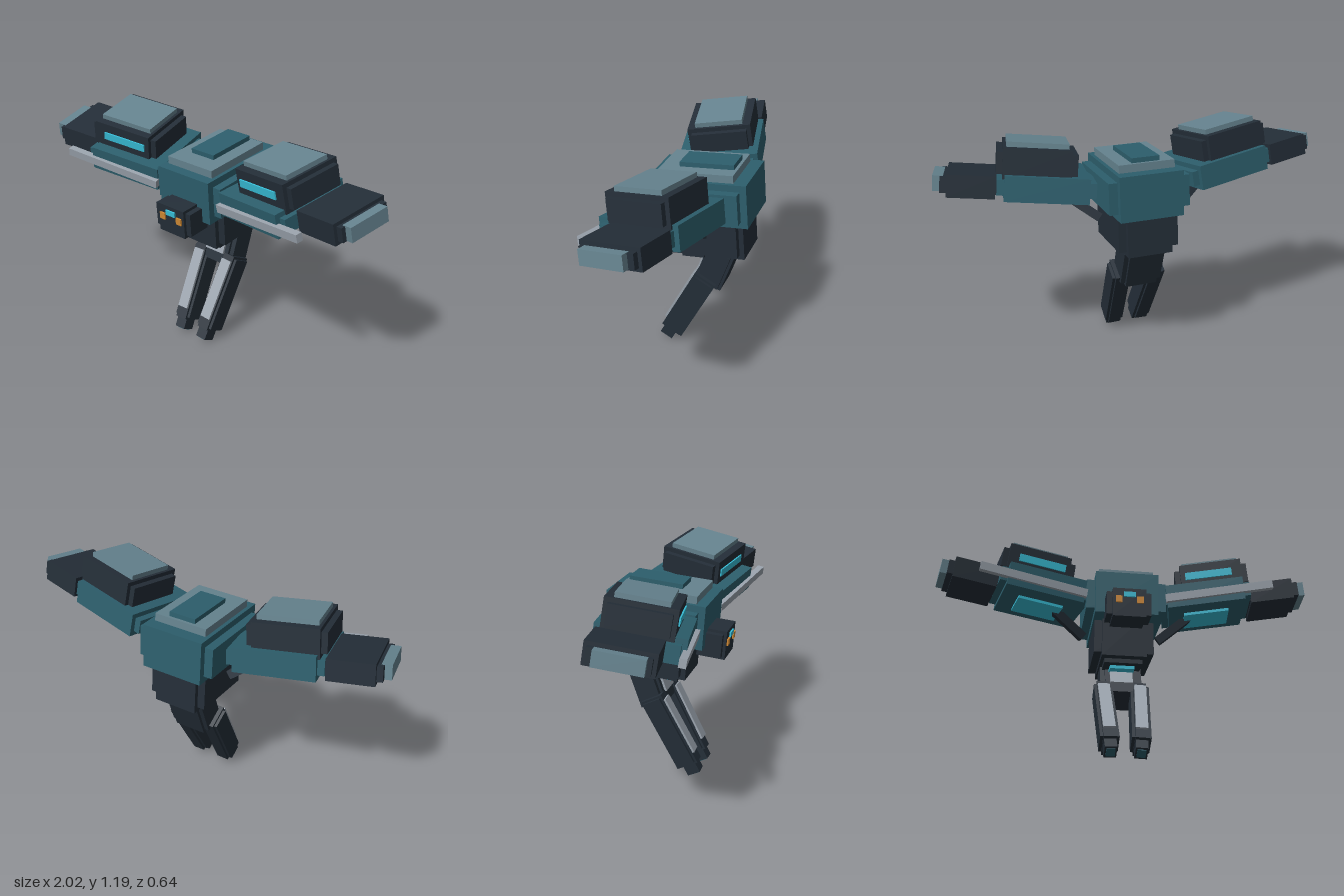
import * as THREE from 'three';
import { mergeGeometries } from 'three/addons/utils/BufferGeometryUtils.js';

const mat = (name, color) => {
  const m = new THREE.MeshStandardMaterial({ color });
  m.name = name;
  return m;
};

export function createModel() {
  const teal = mat('teal armour', 0x2d5f6d);
  const dark = mat('dark frame', 0x242e38);
  const slate = mat('slate plating', 0x668490);
  const silver = mat('silver trim', 0x9aa3ad);
  const cyan = mat('cyan glow', 0x38c0da);
  const amber = mat('amber eyes', 0xd08a35);

  const add = (parent, name, geo, material, pos = [0, 0, 0]) => {
    const mesh = new THREE.Mesh(geo, material);
    mesh.name = name;
    mesh.position.set(...pos);
    parent.add(mesh);
    return mesh;
  };
  const box = (w, h, d) => new THREE.BoxGeometry(w, h, d);
  // Stepped-edge block: a full-height core crossed by a wider, inset slab
  const block = (w, h, d, b, c = b) =>
    mergeGeometries([box(w - 2 * b, h, d), box(w, h - 2 * c, d - 2 * c)]);
  const group = (parent, name, pos, rot = [0, 0, 0], order = 'XYZ') => {
    const g = new THREE.Group();
    g.name = name;
    g.position.set(...pos);
    g.rotation.set(rot[0], rot[1], rot[2], order);
    parent.add(g);
    return g;
  };

  const model = new THREE.Group();
  model.name = 'flyingRobot';
  const pitch = 0.076;

  // Torso with stacked back plates
  const torso = group(model, 'torso', [0, 0.8885, -0.048], [pitch, 0, 0]);
  add(torso, 'chest', block(0.42, 0.23, 0.522, 0.045, 0.035), teal);
  add(torso, 'backPlate', box(0.29, 0.04, 0.4), slate, [0, 0.135, 0.008]);
  add(torso, 'backPanel', box(0.145, 0.025, 0.285), teal, [0, 0.167, -0.033]);

  // Waist and the thruster under it
  const waist = group(model, 'waist', [0, 0.693, -0.086], [pitch, 0, 0]);
  add(waist, 'waistBlock', block(0.315, 0.24, 0.393, 0.04, 0.025), dark);
  add(waist, 'thrusterHousing', box(0.2, 0.03, 0.12), dark, [0, -0.128, 0.09]);
  add(waist, 'thrusterGlow', box(0.13, 0.02, 0.08), cyan, [0, -0.15, 0.07]);

  // Head with eyes and brow light
  const head = group(model, 'head', [0, 0.768, 0.231], [pitch, 0, 0]);
  add(head, 'skull', block(0.23, 0.153, 0.15, 0.03, 0.015), dark);
  add(head, 'browLight', box(0.06, 0.027, 0.009), cyan, [0, 0.042, 0.079]);
  for (const s of [1, -1])
    add(head, 'eye', box(0.034, 0.036, 0.009), amber, [s * 0.054, 0.014, 0.079]);

  // Pelvis swept forward
  const pelvis = group(model, 'pelvis', [0, 0.492, -0.12], [-0.339, 0, 0]);
  add(pelvis, 'pelvisBlock', block(0.22, 0.24, 0.15, 0.025, 0.015), dark);
  add(pelvis, 'pelvisPlate', box(0.12, 0.13, 0.03), silver, [0, 0.0, 0.072]);

  for (const s of [1, -1]) {
    const side = s > 0 ? 'left' : 'right';

    // Lower leg, shin strip and foot
    const leg = group(model, side + 'Leg', [s * 0.088, 0.247, 0.017], [-0.487, 0, -s * 0.045]);
    add(leg, 'shin', block(0.097, 0.426, 0.126, 0.015, 0.012), dark);
    add(leg, 'shinStrip', box(0.062, 0.334, 0.025), silver, [0, 0.015, 0.062]);
    add(leg, 'foot', box(0.062, 0.075, 0.074), dark, [0, -0.232, 0.01]);
    add(leg, 'footGlow', box(0.045, 0.006, 0.05), teal, [0, -0.271, 0.01]);

    // Wing arm: swept forward, raised outward
    const rot = [0.15, -s * 0.18, s * 0.1];
    const wing = group(model, side + 'Wing', [s * 0.453, 0.93, 0.013], rot, 'YXZ');
    add(wing, 'wingSlab', block(0.48, 0.125, 0.43, 0.035, 0.025), teal);
    add(wing, 'undersideGlow', box(0.24, 0.018, 0.22), cyan, [0, -0.068, -0.01]);

    // Shoulder pod
    add(wing, 'pod', block(0.39, 0.15, 0.34, 0.03, 0.022), dark, [s * 0.05, 0.115, -0.015]);
    add(wing, 'podCap', box(0.3, 0.03, 0.255), slate, [s * 0.05, 0.2, -0.015]);
    add(wing, 'podLight', box(0.25, 0.04, 0.009), cyan, [s * 0.035, 0.122, 0.158]);

    // Wing end and its tip
    add(wing, 'wingEnd', block(0.29, 0.11, 0.32, 0.03, 0.018), dark, [s * 0.36, 0, -0.04]);
    add(wing, 'wingTip', box(0.05, 0.075, 0.23), slate, [s * 0.515, 0.002, -0.035]);

    // Leading-edge rail
    const rail = group(model, side + 'Rail', [s * 0.485, 0.895, 0.238], [0.15, -s * 0.165, s * 0.12], 'YXZ');
    add(rail, 'leadingRail', box(0.565, 0.042, 0.035), silver);

    // Strut from the waist to the wing
    const a = new THREE.Vector3(s * 0.205, 0.745, -0.09);
    const b = new THREE.Vector3(s * 0.37, 0.87, -0.03);
    const dir = b.clone().sub(a);
    const strut = add(model, side + 'Strut', box(0.045, dir.length(), 0.06), dark,
      a.clone().add(b).multiplyScalar(0.5).toArray());
    strut.quaternion.setFromUnitVectors(new THREE.Vector3(0, 1, 0), dir.normalize());
  }

  return model;
}
